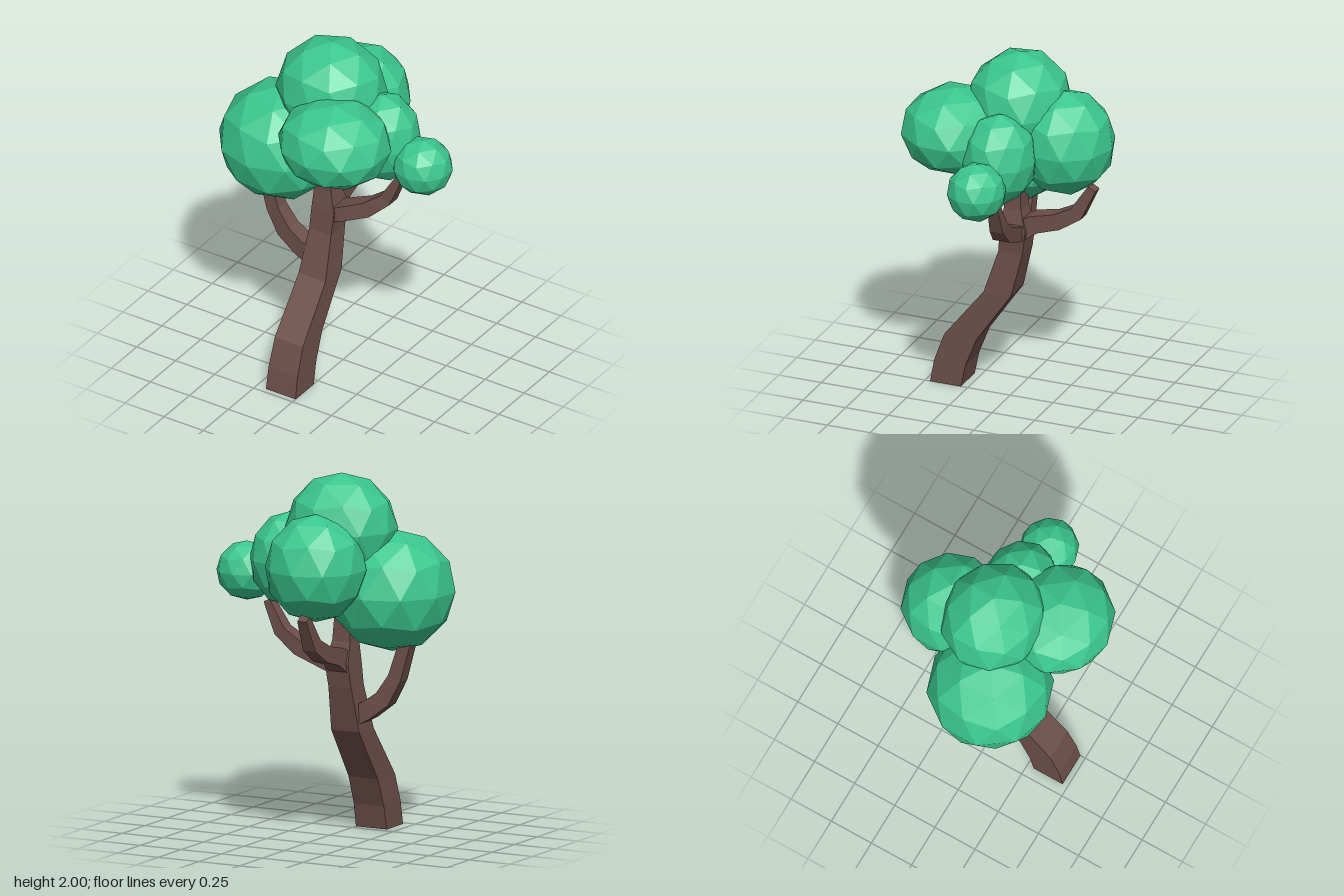
import * as THREE from 'three';

const bark = new THREE.MeshStandardMaterial({ color: 0x6d4f4a, flatShading: true });
const leaf = new THREE.MeshStandardMaterial({ color: 0x3bc78f, flatShading: true });

// Square limb swept along rings of [x, y, z, halfSide, halfDepth].
// side is the fixed cross axis; level keeps every ring horizontal.
function limb(name, rings, side, level = false) {
  const centers = rings.map(r => new THREE.Vector3(r[0], r[1], r[2]));
  const positions = [], index = [];
  rings.forEach((r, i) => {
    const t = level
      ? new THREE.Vector3(0, 1, 0)
      : centers[Math.min(i + 1, rings.length - 1)].clone().sub(centers[Math.max(i - 1, 0)]);
    const n = t.cross(side).normalize();
    for (const [a, b] of [[1, 1], [-1, 1], [-1, -1], [1, -1]]) {
      const p = centers[i].clone().addScaledVector(side, a * r[3]).addScaledVector(n, b * r[4]);
      positions.push(p.x, p.y, p.z);
    }
    if (i === 0) return;
    for (let k = 0; k < 4; k++) {
      const a = (i - 1) * 4 + k, b = (i - 1) * 4 + (k + 1) % 4;
      index.push(a, b, b + 4, a, b + 4, a + 4);
    }
  });
  const e = (rings.length - 1) * 4;
  index.push(0, 2, 1, 0, 3, 2, e, e + 1, e + 2, e, e + 2, e + 3);
  const geo = new THREE.BufferGeometry();
  geo.setAttribute('position', new THREE.Float32BufferAttribute(positions, 3));
  geo.setIndex(index);
  const flat = geo.toNonIndexed();
  flat.computeVertexNormals();
  const mesh = new THREE.Mesh(flat, bark);
  mesh.name = name;
  return mesh;
}

// Faceted leaf clump: icosphere standing on a vertex, stretched to its radii
function clump(name, [x, y, z], [rx, ry, rz], turn = 0) {
  const geo = new THREE.IcosahedronGeometry(1, 1);
  geo.rotateZ(-Math.atan(2 / (1 + Math.sqrt(5))));
  geo.rotateY(turn);
  geo.scale(rx, ry, rz);
  geo.translate(x, y, z);
  geo.computeVertexNormals();
  const mesh = new THREE.Mesh(geo, leaf);
  mesh.name = name;
  return mesh;
}

export function createModel() {
  const tree = new THREE.Group();
  tree.name = 'tree';
  const X = new THREE.Vector3(1, 0, 0), Z = new THREE.Vector3(0, 0, 1);

  // Leaning trunk
  tree.add(limb('trunk', [
    [-0.095, 0, 0.38, 0.095, 0.09],
    [-0.095, 0.13, 0.355, 0.093, 0.092],
    [-0.095, 0.29, 0.295, 0.09, 0.095],
    [-0.095, 0.58, 0.08, 0.086, 0.08],
    [-0.095, 0.83, 0.01, 0.07, 0.07],
    [-0.085, 0.96, -0.005, 0.072, 0.075],
    [-0.095, 1.08, 0.005, 0.055, 0.05],
    [-0.095, 1.3, 0.01, 0.042, 0.04],
  ], X, true));

  // Branches
  tree.add(limb('rightBranch', [
    [-0.1, 0.65, 0.06, 0.055, 0.06],
    [-0.215, 0.7, 0.06, 0.05, 0.05],
    [-0.31, 0.77, 0.065, 0.045, 0.048],
    [-0.38, 0.89, 0.07, 0.04, 0.04],
    [-0.445, 1.1, 0.07, 0.035, 0.035],
  ], Z));
  tree.add(limb('leftBranch', [
    [-0.09, 0.94, 0, 0.065, 0.05],
    [0.0, 0.96, 0, 0.062, 0.042],
    [0.16, 1.025, -0.025, 0.05, 0.042],
    [0.265, 1.11, -0.045, 0.04, 0.035],
    [0.345, 1.27, -0.05, 0.03, 0.02],
  ], Z));
  tree.add(limb('backBranch', [
    [-0.09, 0.94, 0, 0.06, 0.06],
    [-0.09, 1.01, -0.12, 0.05, 0.05],
    [-0.09, 1.045, -0.25, 0.045, 0.045],
    [-0.09, 1.11, -0.36, 0.038, 0.04],
    [-0.09, 1.27, -0.45, 0.028, 0.025],
  ], X));
  tree.add(limb('frontStub', [
    [-0.09, 1.12, 0.01, 0.035, 0.035],
    [-0.08, 1.22, 0.05, 0.03, 0.03],
    [-0.05, 1.38, 0.15, 0.025, 0.025],
  ], X));

  // Foliage
  tree.add(clump('crownClump', [-0.085, 1.7, -0.02], [0.31, 0.3, 0.287], 0.17));
  tree.add(clump('rightClump', [-0.33, 1.36, 0.1], [0.347, 0.335, 0.345]));
  tree.add(clump('frontClump', [0.122, 1.58, 0.27], [0.32, 0.24, 0.295]));
  tree.add(clump('backClump', [-0.075, 1.52, -0.29], [0.279, 0.295, 0.275]));
  tree.add(clump('leftClump', [0.23, 1.5, -0.035], [0.22, 0.26, 0.205]));
  tree.add(clump('centreClump', [-0.05, 1.42, 0.08], [0.27, 0.205, 0.27]));
  tree.add(clump('outerLeftClump', [0.5, 1.41, -0.017], [0.169, 0.162, 0.162]));
  return tree;
}
